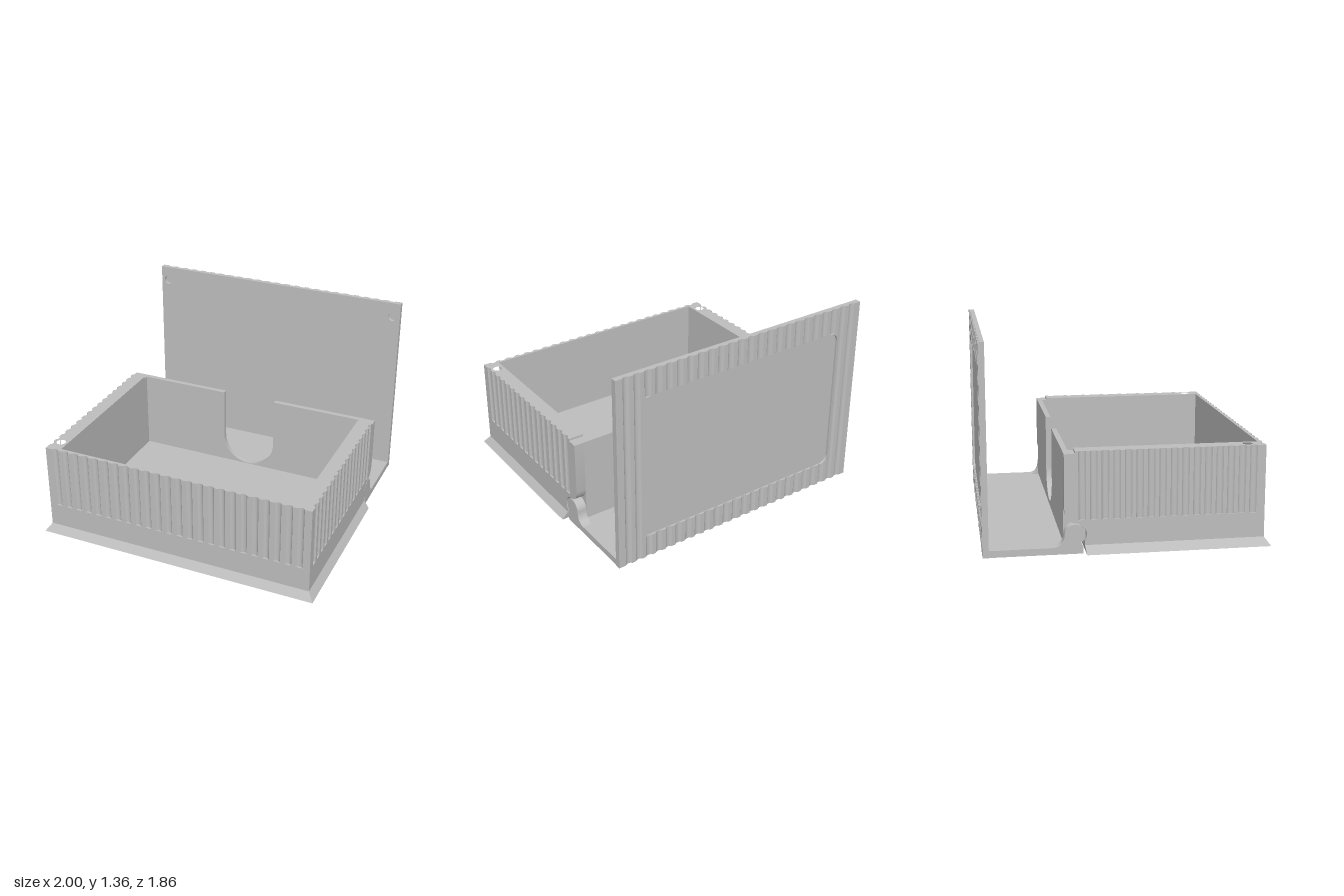
import * as THREE from 'three';
import { toCreasedNormals } from 'three/addons/utils/BufferGeometryUtils.js';
import { ConvexGeometry } from 'three/addons/geometries/ConvexGeometry.js';

const FLUTE = 0.048, PITCH = 1.772 / 23;

export function createModel() {
  const group = new THREE.Group();
  const grey = new THREE.MeshStandardMaterial({ color: 0xbebebe });
  grey.name = 'plainGrey';

  const add = (name, geo) => {
    const mesh = new THREE.Mesh(geo, grey);
    mesh.name = name;
    group.add(mesh);
    return mesh;
  };
  const box = (name, x0, x1, y0, y1, z0, z1) =>
    add(name, new THREE.BoxGeometry(x1 - x0, y1 - y0, z1 - z0)
      .translate((x0 + x1) / 2, (y0 + y1) / 2, (z0 + z1) / 2));
  const extrude = (shape, depth, curveSegments = 8) =>
    new THREE.ExtrudeGeometry(shape, { depth, bevelEnabled: false, curveSegments });
  const smooth = (geo) => toCreasedNormals(geo, 0.5);
  // Plan outline (x, -z) raised from y0 to y1
  const raise = (name, shape, y0, y1) =>
    add(name, smooth(extrude(shape, y1 - y0).rotateX(-Math.PI / 2).translate(0, y0, 0)));
  // Side profile (z, y) spanning x0 to x1
  const span = (name, shape, x0, x1) =>
    add(name, smooth(extrude(shape, x1 - x0, 24).rotateY(-Math.PI / 2).translate(x1, 0, 0)));
  const hole = (x, y, r) => new THREE.Path().absarc(x, y, r, 0, Math.PI * 2, true);
  // Clockwise edge to (bx, by) with concave flutes cut into it
  const flutedEdge = (shape, bx, by, start, count, pitch, depth) => {
    const a = shape.currentPoint.clone(), b = new THREE.Vector2(bx, by);
    const d = b.clone().sub(a).normalize();
    const at = (t, inset) => [a.x + d.x * t + d.y * inset, a.y + d.y * t - d.x * inset];
    for (let i = 0; i < count; i++) {
      const t = start + i * pitch;
      shape.lineTo(...at(t, 0));
      shape.bezierCurveTo(...at(t + FLUTE * 0.15, depth * 1.33),
        ...at(t + FLUTE * 0.85, depth * 1.33), ...at(t + FLUTE, 0));
    }
    shape.lineTo(bx, by);
  };

  // Sloped base skirt
  const corners = [];
  for (const s of [-1, 1]) {
    corners.push(new THREE.Vector3(s, 0, 0.93), new THREE.Vector3(s, 0, -0.27),
      new THREE.Vector3(s * 0.96, 0.055, 0.89), new THREE.Vector3(s * 0.96, 0.055, -0.28));
  }
  add('baseSkirt', new ConvexGeometry(corners));

  // Tray floor and plain lower front wall
  box('trayFloor', -0.86, 0.86, 0.05, 0.08, -0.4, 0.87);
  box('lowerFrontWall', -0.96, 0.96, 0.055, 0.22, 0.86, 0.89);

  // Fluted upper walls: front and both sides, with round pockets
  const walls = new THREE.Shape();
  walls.moveTo(0.96, 0.34);
  flutedEdge(walls, 0.96, -0.89, 0.02, 16, 0.0737, 0.014);
  flutedEdge(walls, -0.96, -0.89, 0.05, 24, PITCH, 0.014);
  flutedEdge(walls, -0.96, 0.34, 0.0565, 16, 0.0737, 0.014);
  walls.lineTo(-0.855, 0.34);
  walls.lineTo(-0.855, -0.86);
  walls.lineTo(0.855, -0.86);
  walls.lineTo(0.855, 0.34);
  for (const s of [-1, 1]) walls.holes.push(hole(s * 0.905, -0.78, 0.032));
  raise('flutedWalls', walls, 0.22, 0.665);

  // Lower side walls and rear posts, the outer layer cut around the hinge
  const sideProfile = (cut) => {
    const p = new THREE.Shape();
    p.moveTo(0.89, 0.055);
    p.lineTo(0.89, 0.22);
    p.lineTo(-0.34, 0.22);
    p.lineTo(-0.34, 0.65);
    p.lineTo(-0.41, 0.65);
    if (cut) {
      p.lineTo(-0.41, 0.29);
      p.quadraticCurveTo(-0.4, 0.21, -0.343, 0.201);
      p.absarc(-0.343, 0.125, 0.076, Math.PI / 2, -0.6, true);
      p.lineTo(-0.28, 0.055);
    } else p.lineTo(-0.41, 0.055);
    return p;
  };

  // Hinge knuckle with a filleted foot
  const knuckle = new THREE.Shape();
  knuckle.moveTo(-0.29, 0);
  knuckle.lineTo(-0.29, 0.035);
  knuckle.lineTo(-0.305, 0.07);
  knuckle.absarc(-0.343, 0.125, 0.066, -0.96, Math.PI, false);
  knuckle.quadraticCurveTo(-0.412, 0.05, -0.48, 0.045);
  knuckle.lineTo(-0.48, 0);

  for (const s of [-1, 1]) {
    const side = s > 0 ? 'left' : 'right';
    const range = (a, b) => (s > 0 ? [a, b] : [-b, -a]);
    span(side + 'OuterSideWall', sideProfile(true), ...range(0.89, 0.96));
    span(side + 'InnerSideWall', sideProfile(false), ...range(0.855, 0.89));
    span(side + 'HingeKnuckle', knuckle, ...range(0.892, 0.959));
    add(side + 'PocketFloor', new THREE.CylinderGeometry(0.033, 0.033, 0.38, 24)
      .translate(s * 0.905, 0.41, 0.78));
  }

  // Rear wall with a U-shaped notch
  const rear = new THREE.Shape();
  rear.moveTo(-0.855, 0.055);
  rear.lineTo(0.855, 0.055);
  rear.lineTo(0.855, 0.65);
  rear.lineTo(0.2, 0.65);
  rear.lineTo(0.2, 0.285);
  rear.absarc(0, 0.285, 0.2, 0, -Math.PI, true);
  rear.lineTo(-0.2, 0.65);
  rear.lineTo(-0.855, 0.65);
  add('rearWall', smooth(extrude(rear, 0.035, 24).translate(0, 0, -0.41)));

  // Lid: bottom strip and upright slab with two round pockets
  box('lidStrip', -0.958, 0.958, 0, 0.045, -0.89, -0.29);
  const slab = new THREE.Shape();
  slab.moveTo(-0.96, 0);
  slab.lineTo(0.96, 0);
  slab.lineTo(0.96, 1.36);
  slab.lineTo(-0.96, 1.36);
  for (const s of [-1, 1]) slab.holes.push(hole(s * 0.905, 1.255, 0.032));
  add('lidSlab', smooth(extrude(slab, 0.025, 16).translate(0, 0, -0.91)));

  // Fluted frame on the back of the lid around a recessed panel
  const lidLayer = (name, x0, x1, start, count, y0, y1) => {
    const p = new THREE.Shape();
    p.moveTo(x0, 0.91);
    p.lineTo(x0, 0.925);
    flutedEdge(p, x1, 0.925, start, count, PITCH, 0.012);
    p.lineTo(x1, 0.91);
    raise(name, p, y0, y1);
  };
  lidLayer('lidLowerBand', -0.96, 0.96, 0.05, 24, 0, 0.16);
  lidLayer('lidUpperBand', -0.96, 0.96, 0.05, 24, 1.18, 1.36);
  lidLayer('lidRightColumn', -0.96, -0.78, 0.05, 2, 0.16, 1.18);
  lidLayer('lidLeftColumn', 0.78, 0.96, 0.18 - 0.05 - FLUTE - PITCH, 2, 0.16, 1.18);

  // Rounded corners of the recess
  const fillet = new THREE.Shape();
  fillet.moveTo(0, 0);
  fillet.lineTo(0.06, 0);
  fillet.absarc(0.06, 0.06, 0.06, -Math.PI / 2, -Math.PI, true);
  [[-0.78, 0.16], [0.78, 0.16], [0.78, 1.18], [-0.78, 1.18]].forEach(([x, y], i) => {
    const mesh = add('recessCorner', smooth(extrude(fillet, 0.015)));
    mesh.position.set(x, y, -0.925);
    mesh.rotation.z = i * Math.PI / 2;
  });

  return group;
}
